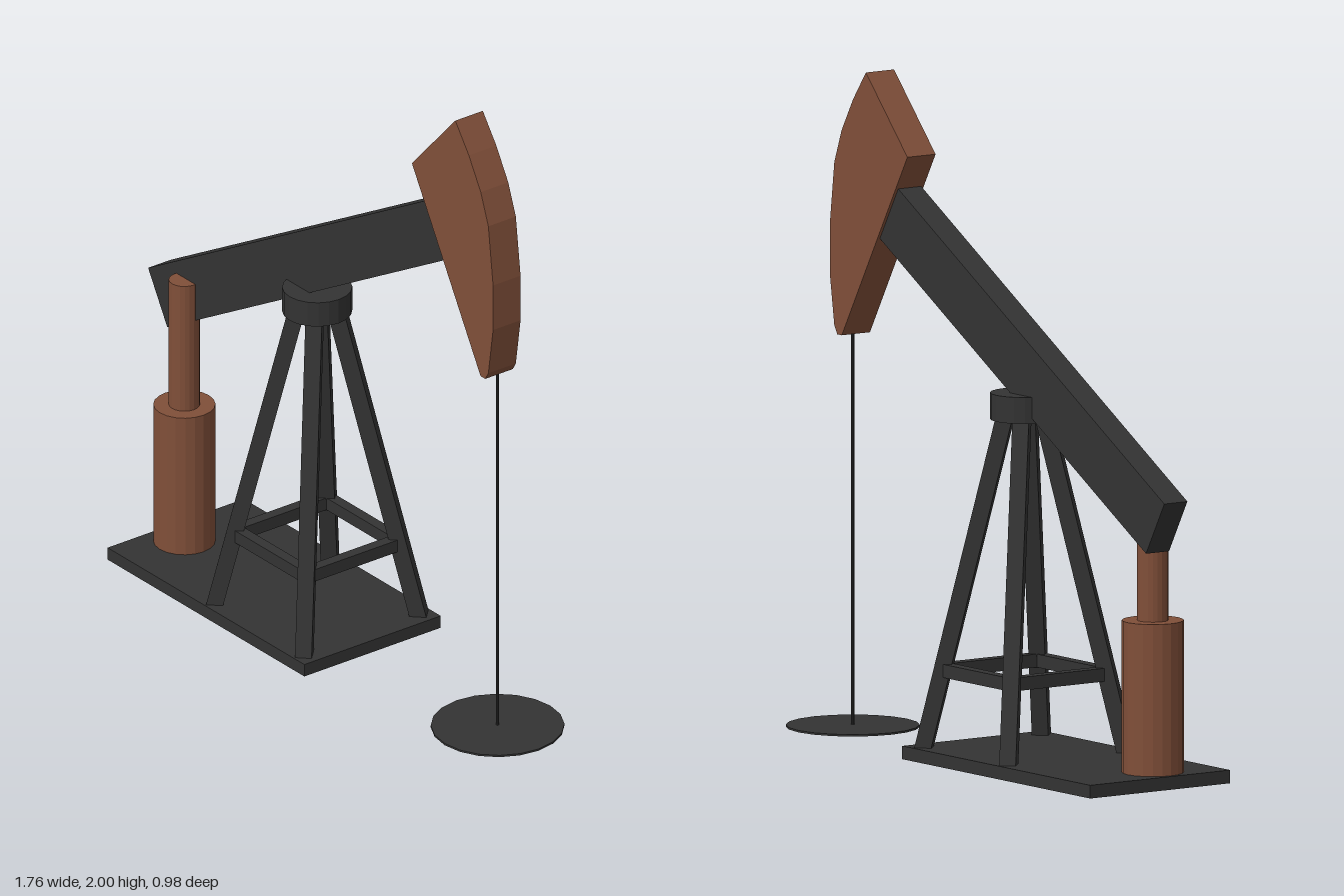
import * as THREE from 'three';

const steel = new THREE.MeshStandardMaterial({ color: 0x333333, flatShading: true });
const rust = new THREE.MeshStandardMaterial({ color: 0x804f39, flatShading: true });

function add(parent, name, geometry, material, x = 0, y = 0, z = 0) {
  const mesh = new THREE.Mesh(geometry, material);
  mesh.name = name;
  mesh.position.set(x, y, z);
  parent.add(mesh);
  return mesh;
}

// Upright cylinder between two heights
function post(parent, name, material, radius, y0, y1, x, z, sides = 20) {
  const geometry = new THREE.CylinderGeometry(radius, radius, y1 - y0, sides);
  return add(parent, name, geometry, material, x, (y0 + y1) / 2, z);
}

export function createModel() {
  const model = new THREE.Group();
  model.name = 'pumpjack';

  // The whole machine is turned about the tower axis
  const rig = new THREE.Group();
  rig.name = 'rig';
  rig.position.set(-0.145, 0, -0.01);
  rig.rotation.y = -THREE.MathUtils.degToRad(20);
  model.add(rig);

  add(rig, 'basePlate', new THREE.BoxGeometry(0.96, 0.04, 0.516), steel, -0.21, 0.02, 0);

  // Tower: four leaning legs, a ring of braces and a cap
  const tower = new THREE.Group();
  tower.name = 'tower';
  rig.add(tower);
  const foot = 0.22, head = 0.038, legTop = 1.07, braceY = 0.275;
  const braceOffset = foot + (head - foot) * braceY / legTop;
  for (let i = 0; i < 4; i++) {
    const side = new THREE.Group();
    side.name = 'towerSide';
    side.rotation.y = i * Math.PI / 2;
    tower.add(side);

    const bottom = new THREE.Vector3(foot, 0.02, foot);
    const top = new THREE.Vector3(head, legTop, head);
    const leg = add(side, 'leg', new THREE.BoxGeometry(0.05, 0.05, bottom.distanceTo(top)), steel);
    leg.position.copy(bottom).add(top).multiplyScalar(0.5);
    leg.quaternion.setFromRotationMatrix(
      new THREE.Matrix4().lookAt(top, bottom, new THREE.Vector3(0, 1, 0)));

    add(side, 'brace', new THREE.BoxGeometry(braceOffset * 2, 0.04, 0.035), steel, 0, braceY, braceOffset);
  }
  post(tower, 'towerCap', steel, 0.105, 1.04, 1.12, 0, 0);

  // Walking beam
  const beam = add(rig, 'walkingBeam', new THREE.BoxGeometry(1.67, 0.187, 0.085), steel, 0, 1.218, 0);
  beam.rotation.z = Math.PI / 6;

  // Curved head at the end of the beam
  const outline = [
    [0.529, 1.77], [0.864, 1.19], [0.887, 1.19], [0.902, 1.215], [0.925, 1.37],
    [0.925, 1.52], [0.902, 1.71], [0.865, 1.81], [0.807, 1.91], [0.741, 2.0],
  ].map(([x, y]) => new THREE.Vector2(x, y));
  const headGeometry = new THREE.ExtrudeGeometry(new THREE.Shape(outline), { depth: 0.104, bevelEnabled: false });
  add(rig, 'horseHead', headGeometry, rust, 0, 0, -0.052);

  // Cable and well cover
  post(rig, 'cable', steel, 0.005, 0, 1.21, 0.88, 0, 8);
  post(rig, 'wellCover', steel, 0.2, 0, 0.006, 0.88, 0);

  // Piston driving the rear of the beam
  post(rig, 'pistonCylinder', rust, 0.093, 0.04, 0.5, -0.586, 0.048);
  post(rig, 'pistonRod', rust, 0.047, 0.5, 0.92, -0.586, 0.048);

  return model;
}
